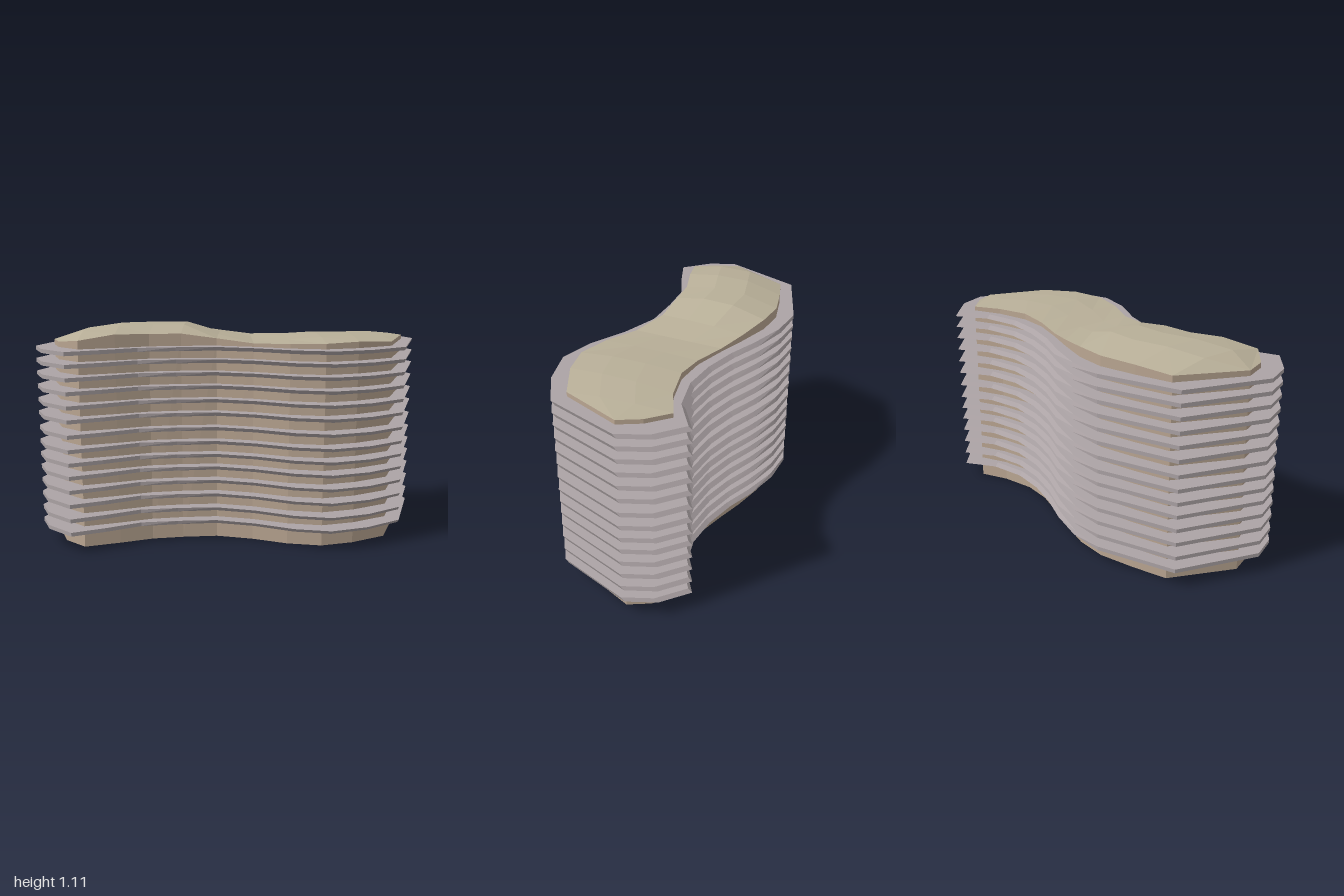
import * as THREE from 'three';

// Footprints as [x, z]: left tip, along the back, right tip, along the front
const SLAB = [[-1, 0.06], [-0.81, -0.34], [-0.61, -0.4], [-0.41, -0.46], [-0.22, -0.435], [-0.03, -0.365],
  [0.13, -0.29], [0.3, -0.235], [0.48, -0.21], [0.67, -0.24], [0.83, -0.335], [0.95, -0.21],
  [1, -0.06], [0.85, 0.31], [0.66, 0.41], [0.46, 0.455], [0.28, 0.4], [0.09, 0.29],
  [-0.1, 0.215], [-0.3, 0.205], [-0.49, 0.21], [-0.67, 0.28], [-0.84, 0.335], [-0.96, 0.2]];
const CORE = [[-0.91, 0.01], [-0.72, -0.3], [-0.54, -0.345], [-0.35, -0.38], [-0.19, -0.36], [-0.02, -0.3],
  [0.13, -0.24], [0.3, -0.18], [0.46, -0.16], [0.64, -0.19], [0.79, -0.25], [0.88, -0.15],
  [0.93, -0.04], [0.79, 0.26], [0.6, 0.34], [0.43, 0.37], [0.26, 0.32], [0.09, 0.23],
  [-0.09, 0.16], [-0.27, 0.15], [-0.43, 0.155], [-0.6, 0.2], [-0.78, 0.24], [-0.88, 0.13]];

// Roof heights, ten stations from left to right
const BACK_Y = [1.05, 1.065, 1.07, 1.07, 1.05, 1.035, 1.04, 1.05, 1.045, 1.04];
const RIDGE_Y = [1.09, 1.11, 1.11, 1.11, 1.06, 1.035, 1.045, 1.06, 1.06, 1.05];
const FRONT_Y = [1.06, 1.085, 1.08, 1.08, 1.055, 1.035, 1.04, 1.045, 1.05, 1.04];

const SLAB_Y = [0.1, 0.17, 0.245, 0.318, 0.39, 0.457, 0.525, 0.598, 0.674, 0.743, 0.813, 0.881, 0.946, 1.008];

function flatMesh(name, triangles, color) {
  const geometry = new THREE.BufferGeometry().setFromPoints(triangles);
  geometry.computeVertexNormals();
  const mesh = new THREE.Mesh(geometry, new THREE.MeshStandardMaterial({ color, flatShading: true }));
  mesh.name = name;
  return mesh;
}

// The lower edge leans slightly towards the back on the right-hand part
const lean = (x, amount) => amount * THREE.MathUtils.clamp((x + 0.4) / 0.4, 0, 1);

function ring(outline, yOf, shift = 0) {
  return outline.map(([x, z], i) => new THREE.Vector3(x, yOf(i), z - lean(x, shift)));
}

function walls(bottom, top) {
  const out = [];
  bottom.forEach((a, i) => {
    const j = (i + 1) % bottom.length;
    out.push(a, top[i], bottom[j], bottom[j], top[i], top[j]);
  });
  return out;
}

function cap(points, up) {
  const flat = points.map((p) => new THREE.Vector2(p.x, p.z));
  const out = [];
  for (const face of THREE.ShapeUtils.triangulateShape(flat, [])) {
    const [a, b, c] = face.map((i) => points[i]);
    const facesUp = (b.z - a.z) * (c.x - a.x) - (b.x - a.x) * (c.z - a.z) > 0;
    out.push(...(facesUp === up ? [a, b, c] : [a, c, b]));
  }
  return out;
}

// Faceted roof skin spanning the rim of the core
function roofTriangles(rim) {
  const grid = RIDGE_Y.map((ridge, c) => [0, 0.35, 0.68, 1].map((t, r) => {
    const p = rim[1 + c].clone().lerp(rim[22 - c], t);
    if (r === 1 || r === 2) p.y = ridge;
    return p;
  }));
  const out = [];
  for (let c = 0; c < grid.length - 1; c++) {
    for (let r = 0; r < 3; r++) {
      const a = grid[c][r], b = grid[c][r + 1], d = grid[c + 1][r + 1], e = grid[c + 1][r];
      out.push(a, b, d, a, d, e);
    }
  }
  // Fans closing both ends
  const first = grid[0], last = grid[grid.length - 1];
  for (let r = 0; r < 3; r++) {
    out.push(rim[0], first[r + 1], first[r]);
    out.push(rim[12], last[r], last[r + 1]);
  }
  out.push(rim[0], rim[23], first[3], rim[12], rim[11], last[0]);
  return out;
}

export function createModel() {
  const model = new THREE.Group();
  model.name = 'curvedBuilding';

  // Core walls and base
  const rimY = (i) => {
    if (i >= 1 && i <= 10) return BACK_Y[i - 1];
    if (i >= 13 && i <= 22) return FRONT_Y[22 - i];
    return i === 0 || i === 23 ? 1.045 : 1.04;
  };
  const base = ring(CORE, () => 0, 0.015);
  const rim = ring(CORE, rimY);
  model.add(flatMesh('coreWalls', [...walls(base, rim), ...cap(base, false)], 0xbaa692));

  // Undulating roof
  model.add(flatMesh('roof', roofTriangles(rim), 0xb8af98));

  // Stacked floor slabs
  const floors = new THREE.Group();
  floors.name = 'floorSlabs';
  const low = ring(SLAB, () => -0.01, 0.02);
  const high = ring(SLAB, () => 0.01);
  const slabTriangles = [...walls(low, high), ...cap(low, false), ...cap(high, true)];
  SLAB_Y.forEach((y, i) => {
    const slab = flatMesh(`floorSlab${i + 1}`, slabTriangles, 0xaca3a5);
    slab.position.y = y;
    floors.add(slab);
  });
  model.add(floors);

  return model;
}
